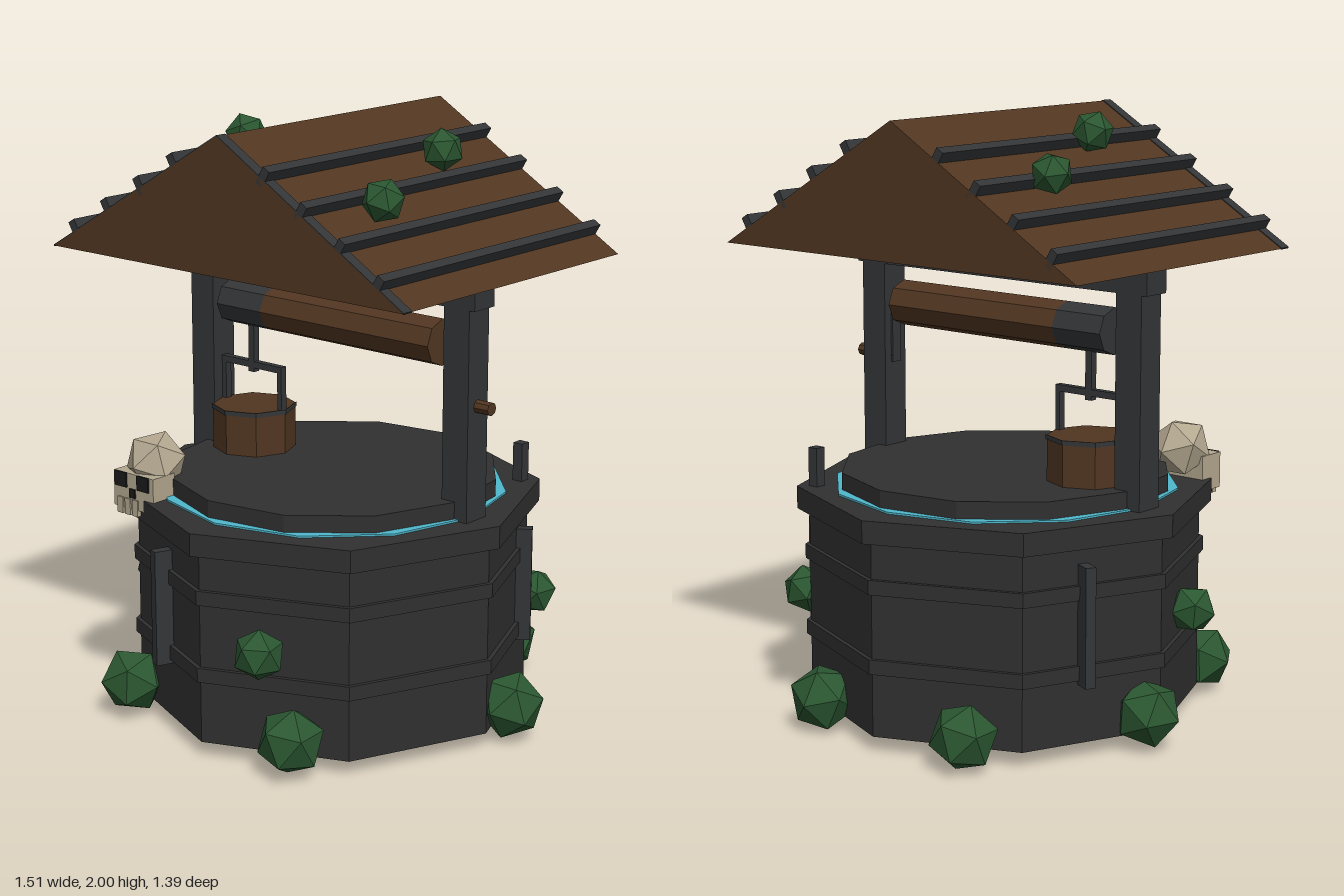
import * as THREE from 'three';

const mat = (name, color) => {
  const m = new THREE.MeshStandardMaterial({ color });
  m.name = name;
  m.flatShading = true;
  return m;
};

export function createModel() {
  const stone = mat('dark stone', 0x303031);
  const iron = mat('dark timber', 0x333537);
  const wood = mat('brown wood', 0x513621);
  const leaf = mat('leaf green', 0x2b5731);
  const bone = mat('bone', 0xb3a78f);
  const water = mat('water', 0x4fb8cc);
  const black = mat('black', 0x1a1a1a);

  const root = new THREE.Group();
  root.name = 'well';
  const add = (name, geo, material, x, y, z, parent = root) => {
    const m = new THREE.Mesh(geo, material);
    m.name = name;
    m.position.set(x, y, z);
    parent.add(m);
    return m;
  };
  const box = (name, material, w, h, d, x, y, z, parent) =>
    add(name, new THREE.BoxGeometry(w, h, d), material, x, y, z, parent);
  // Upright prism between two heights
  const drum = (name, material, r, y0, y1, sides, x = 0, z = 0) =>
    add(name, new THREE.CylinderGeometry(r, r, y1 - y0, sides), material, x, (y0 + y1) / 2, z);

  // Octagonal basin with bands and rim
  drum('basin', stone, 0.65, 0.055, 0.7, 8);
  drum('lowerBand', stone, 0.665, 0.265, 0.313, 8);
  drum('upperBand', stone, 0.665, 0.525, 0.573, 8);
  drum('rim', stone, 0.69, 0.695, 0.77, 8);
  drum('water', water, 0.575, 0.77, 0.776, 12);
  drum('lid', stone, 0.55, 0.774, 0.832, 12).rotation.y = -0.1;

  // Upright slats on the basin wall
  for (const deg of [-21, 124, 244]) {
    const a = THREE.MathUtils.degToRad(deg);
    box('slat', iron, 0.035, 0.39, 0.08, Math.sin(a) * 0.622, 0.445, Math.cos(a) * 0.622).rotation.y = a;
  }
  box('rimPeg', iron, 0.037, 0.135, 0.037, 0.443, 0.832, -0.44);

  // Frame
  for (const s of [-1, 1]) box('post', iron, 0.1, 0.7, 0.1, s * 0.545, 1.115, 0);
  box('crossbeam', iron, 1.23, 0.1, 0.1, 0, 1.51, 0);

  // Roof prism
  const W = 0.735, Y0 = 1.562, H = 0.438, D = 1.09;
  const tri = new THREE.Shape([
    new THREE.Vector2(-W, 0), new THREE.Vector2(W, 0), new THREE.Vector2(0, H)]);
  const roofGeo = new THREE.ExtrudeGeometry(tri, { depth: D, bevelEnabled: false });
  add('roof', roofGeo, wood, 0, Y0, -D / 2);

  // Battens and front edging on both slopes
  const pitch = Math.atan2(H, W);
  const slope = Math.hypot(W, H);
  for (const s of [-1, 1]) {
    for (const x of [0.188, 0.337, 0.486, 0.635]) {
      const b = box('batten', iron, 0.03, 0.06, D, s * x, Y0 + H * (1 - x / W) + 0.008, 0);
      b.rotation.z = -s * pitch;
    }
    const e = box('roofEdging', iron, slope, 0.006, 0.04, s * W / 2, Y0 + H / 2, D / 2 - 0.02);
    e.rotation.z = -s * pitch;
  }

  // Winding roller with wrapped end
  const roller = (name, material, x0, x1) => {
    const g = new THREE.CylinderGeometry(0.077, 0.077, x1 - x0, 8);
    add(name, g, material, (x0 + x1) / 2, 1.328, 0).rotation.z = Math.PI / 2;
  };
  roller('rollerWrap', iron, -0.452, -0.258);
  roller('roller', wood, -0.258, 0.452);

  // Crank
  box('crankArm', iron, 0.025, 0.21, 0.04, 0.5, 1.225, 0);
  add('crankHandle', new THREE.CylinderGeometry(0.022, 0.022, 0.16, 8), wood, 0.57, 1.145, 0)
    .rotation.z = Math.PI / 2;

  // Bucket on its rope
  const bx = -0.357;
  drum('bucket', wood, 0.14, 0.82, 0.982, 8, bx);
  const hoop = add('bucketHoop', new THREE.CylinderGeometry(0.144, 0.144, 0.016, 8, 1, true), iron, bx, 0.977, 0);
  hoop.name = 'bucketHoop';
  box('rope', iron, 0.025, 0.17, 0.025, bx, 1.18, 0);
  box('bailTop', iron, 0.27, 0.022, 0.025, bx, 1.12, 0);
  for (const s of [-1, 1]) box('bailSide', iron, 0.018, 0.15, 0.025, bx + s * 0.126, 1.05, 0);

  // Skull on the rim
  const skull = new THREE.Group();
  skull.name = 'skull';
  skull.position.set(-0.39, 0.87, 0.442);
  root.add(skull);
  const cap = add('cranium', new THREE.IcosahedronGeometry(0.105, 0), bone, 0, 0, 0, skull);
  cap.rotation.set(0.55, 0, 0);
  box('face', bone, 0.18, 0.12, 0.1, 0, -0.08, 0.055, skull);
  for (const x of [-0.055, 0.045]) box('eye', black, 0.052, 0.05, 0.008, x, -0.044, 0.107, skull);
  box('nose', black, 0.025, 0.03, 0.008, -0.003, -0.085, 0.107, skull);
  box('mouth', black, 0.09, 0.06, 0.06, -0.025, -0.125, 0.07, skull);
  for (const x of [-0.059, -0.025, 0.009])
    box('tooth', bone, 0.025, 0.055, 0.02, x, -0.133, 0.1, skull);

  // Leafy clumps: x, y, z, radius
  const clumps = [
    [0.665, 0.125, -0.11, 0.112], [0.32, 0.125, 0.58, 0.112], [-0.42, 0.125, 0.54, 0.112],
    [-0.645, 0.125, -0.06, 0.112], [-0.33, 0.112, -0.59, 0.112], [0.28, 0.112, -0.59, 0.112],
    [0.22, 0.4, 0.615, 0.085], [-0.61, 0.4, 0.22, 0.082], [0.52, 0.4, -0.42, 0.08],
    [-0.235, 1.933, 0.155, 0.07], [-0.39, 1.84, -0.24, 0.07],
    [0.285, 1.895, -0.2, 0.07], [0.442, 1.82, 0.285, 0.07]];
  clumps.forEach(([x, y, z, r], i) => {
    const c = add('leafClump', new THREE.IcosahedronGeometry(r, 0), leaf, x, y, z);
    c.rotation.set(0.55, i * 1.3, 0);
  });

  return root;
}
